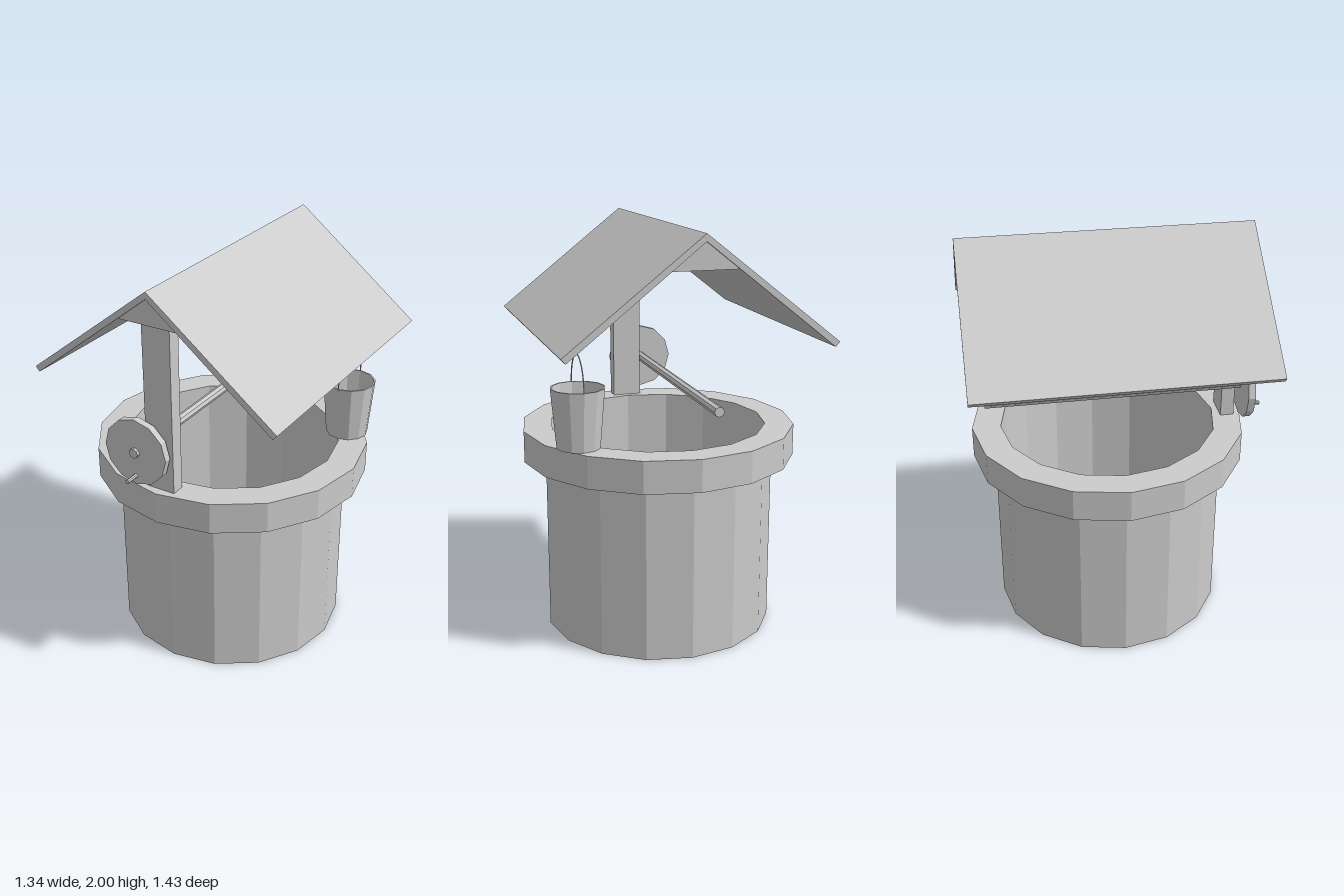
import * as THREE from 'three';

const material = new THREE.MeshStandardMaterial({ color: 0xcccccc, flatShading: true, side: THREE.DoubleSide });

function add(parent, name, geometry, x = 0, y = 0, z = 0) {
  const mesh = new THREE.Mesh(geometry, material);
  mesh.name = name;
  mesh.position.set(x, y, z);
  parent.add(mesh);
  return mesh;
}

const lathe = (points, sides) =>
  new THREE.LatheGeometry(points.map(([r, y]) => new THREE.Vector2(r, y)), sides);

// Outline in the front plane, extruded between two z positions
function prism(points, back, front) {
  const shape = new THREE.Shape(points.map(([x, y]) => new THREE.Vector2(x, y)));
  return new THREE.ExtrudeGeometry(shape, { depth: front - back, bevelEnabled: false }).translate(0, 0, back);
}

// Cylinder lying along z between two positions
const rod = (radius, back, front, sides) =>
  new THREE.CylinderGeometry(radius, radius, front - back, sides)
    .rotateX(Math.PI / 2).translate(0, 0, (front + back) / 2);

export function createModel() {
  const model = new THREE.Group();
  model.name = 'well';

  // Stone shaft, with the rim running down into the inner lining and floor
  const wellZ = -0.025;
  add(model, 'shaftWall', new THREE.CylinderGeometry(0.565, 0.565, 0.86, 16, 1, true), 0, 0.43, wellZ);
  add(model, 'rimAndLining', lathe([
    [0.53, 0.86], [0.67, 0.86], [0.67, 1.015], [0.53, 1.015], [0.53, 0.07], [0, 0.07],
  ], 16), 0, 0, wellZ);

  // Post, ridge beam and gabled roof
  add(model, 'post', new THREE.BoxGeometry(0.145, 0.88, 0.066), -0.002, 1.455, 0.567);
  add(model, 'ridgeBeam', prism([[-0.157, 1.845], [0.157, 1.845], [0, 1.968]], -0.705, 0.655));
  add(model, 'roof', prism([
    [0, 2], [-0.63, 1.508], [-0.61, 1.485], [0, 1.966], [0.61, 1.485], [0.63, 1.508],
  ], -0.715, 0.665));

  // Winch: axle, wheel and crank handle
  const winch = new THREE.Group();
  winch.name = 'winch';
  winch.position.set(-0.1, 1.205, 0);
  model.add(winch);
  add(winch, 'axle', rod(0.024, -0.63, 0.665, 8));
  add(winch, 'wheel', rod(0.165, 0.615, 0.65, 12));
  add(winch, 'crankHandle', rod(0.01, 0.645, 0.72, 8), 0, -0.12, 0);

  // Bucket on the rim with a thin wire handle
  const bucket = new THREE.Group();
  bucket.name = 'bucket';
  bucket.position.set(0.476, 1.015, -0.348);
  model.add(bucket);
  add(bucket, 'pail', lathe([
    [0, 0], [0.103, 0], [0.127, 0.28], [0.119, 0.28], [0.097, 0.015], [0, 0.015],
  ], 12));
  const arc = [];
  for (let i = 0; i <= 16; i++) {
    const a = (i / 16) * Math.PI;
    arc.push(new THREE.Vector3(0, 0.275 + 0.156 * Math.sin(a), 0.125 * Math.cos(a)));
  }
  add(bucket, 'bucketHandle', new THREE.TubeGeometry(new THREE.CatmullRomCurve3(arc), 24, 0.003, 5));

  return model;
}
